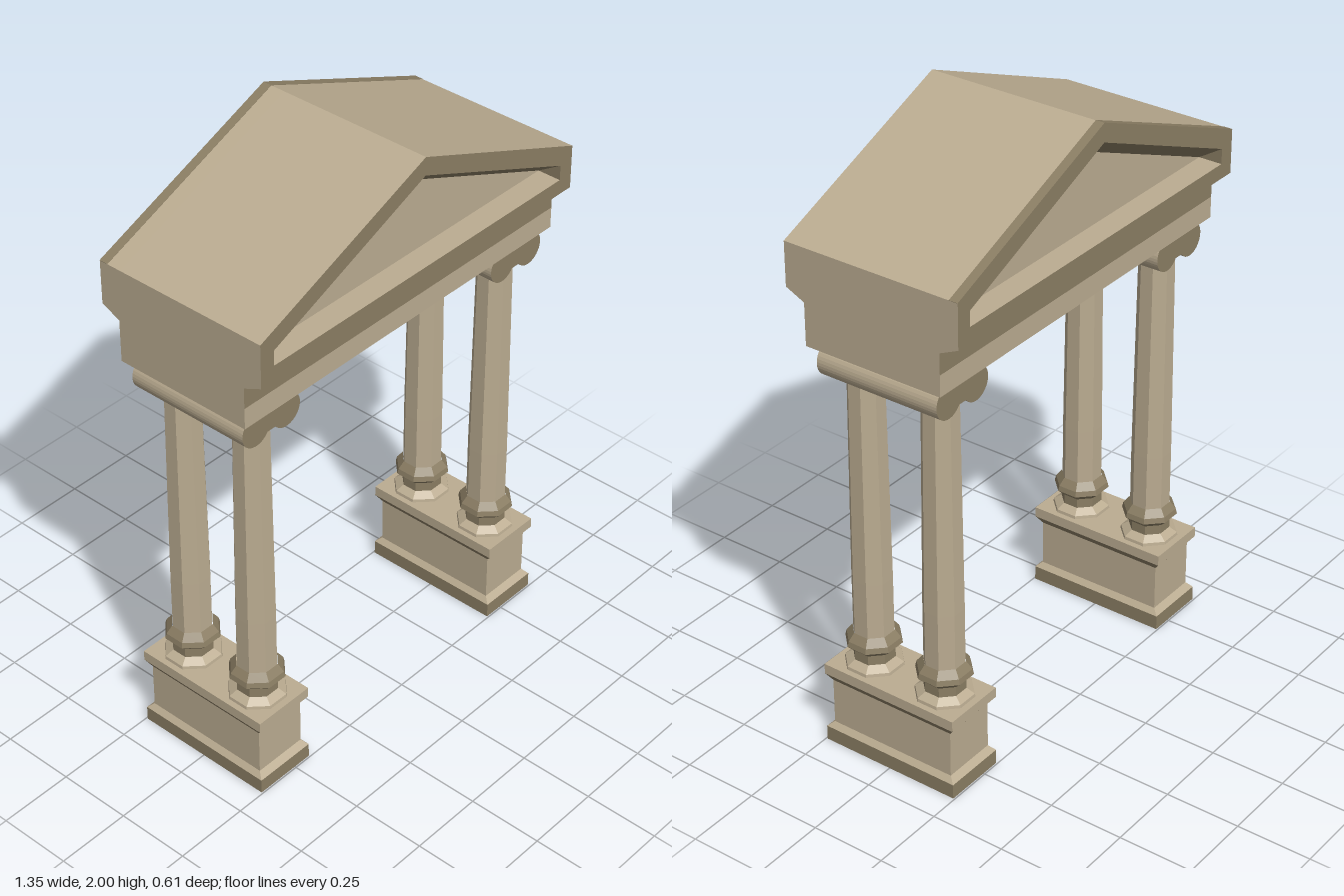
import * as THREE from 'three';

const stone = new THREE.MeshStandardMaterial({ color: 0xbbac91 });
stone.name = 'light stone';
const worn = new THREE.MeshStandardMaterial({ color: 0x8b7e64 });
worn.name = 'weathered stone';
// box faces: sides, top and bottom light, front and back weathered
const wornEnds = [stone, stone, stone, stone, worn, worn];

function add(parent, name, geometry, material) {
  const mesh = new THREE.Mesh(geometry, material);
  mesh.name = name;
  parent.add(mesh);
  return mesh;
}

function faceted(geometry) {
  const g = geometry.index ? geometry.toNonIndexed() : geometry;
  g.computeVertexNormals();
  return g;
}

// Box between two heights, with separate half sizes at bottom and top
function block(y0, y1, [bx, bz], [tx, tz] = [bx, bz]) {
  const g = new THREE.BoxGeometry(2, y1 - y0, 2);
  g.translate(0, (y0 + y1) / 2, 0);
  const p = g.attributes.position;
  for (let i = 0; i < p.count; i++) {
    const top = p.getY(i) > (y0 + y1) / 2;
    p.setX(i, p.getX(i) * (top ? tx : bx));
    p.setZ(i, p.getZ(i) * (top ? tz : bz));
  }
  return faceted(g);
}

// Eight-sided turned part with a flat side facing forward
function turned(profile) {
  const points = profile.map(([r, y]) => new THREE.Vector2(r / Math.cos(Math.PI / 8), y));
  return faceted(new THREE.LatheGeometry(points, 8, Math.PI / 8));
}

function gable(half, base, eave, apex, Type = THREE.Shape) {
  return new Type([[-half, base], [half, base], [half, eave], [0, apex], [-half, eave]]
    .map(([x, y]) => new THREE.Vector2(x, y)));
}

function pedestal() {
  const g = new THREE.Group();
  g.name = 'pedestal';
  const wide = [0.107, 0.245], narrow = [0.092, 0.225];
  add(g, 'plinth', block(0, 0.05, wide), worn);
  add(g, 'plinthBevel', block(0.05, 0.068, wide, narrow), stone);
  add(g, 'pedestalBody', block(0.068, 0.225, narrow), stone);
  add(g, 'capBevel', block(0.225, 0.25, narrow, wide), worn);
  add(g, 'pedestalCap', block(0.25, 0.285, wide), stone);
  return g;
}

function column() {
  const g = new THREE.Group();
  g.name = 'column';
  add(g, 'columnFoot', turned([[0.088, 0.283], [0.086, 0.295], [0.062, 0.312]]), stone);
  add(g, 'columnRings', turned([[0.062, 0.312], [0.062, 0.345], [0.084, 0.367], [0.08, 0.385], [0.062, 0.41]]), worn);
  add(g, 'shaft', turned([[0.06, 0.4], [0.06, 0.6], [0.053, 1.34]]), stone);
  return g;
}

// Capital: two scrolls joined by a bridge, running the depth of both columns
function capitalGeometry() {
  const deg = Math.PI / 180;
  const s = new THREE.Shape();
  s.moveTo(-0.094, 1.41);
  s.lineTo(0.094, 1.41);
  s.absarc(0.062, 1.355, 0.056, 55 * deg, -145 * deg, true);
  s.absarc(-0.062, 1.355, 0.056, -35 * deg, -235 * deg, true);
  const g = new THREE.ExtrudeGeometry(s, { depth: 0.43, bevelEnabled: false, curveSegments: 10 });
  return g.translate(0, 0, -0.215);
}

// Gable frame whose recess narrows under a sloping soffit
function frameGeometry(depth) {
  const s = gable(0.675, 1.58, 1.725, 2);
  s.holes.push(gable(0.622, 1.63, 1.68, 1.94, THREE.Path));
  const g = new THREE.ExtrudeGeometry(s, { depth, bevelEnabled: false });
  const p = g.attributes.position;
  const inHole = (i) => Math.abs(p.getX(i)) < 0.65 && p.getY(i) > 1.6 && p.getY(i) < 1.97;
  const capCount = g.groups[0].count;
  for (let i = 0; i < p.count; i++) {
    if (inHole(i) && p.getY(i) > 1.65 && p.getZ(i) < depth / 2) p.setY(i, p.getY(i) - 0.05);
  }
  g.computeVertexNormals();
  // weathered face and soffit, light roof and ledge
  g.clearGroups();
  g.addGroup(0, capCount, 0);
  for (let i = capCount; i < p.count; i += 3) {
    const soffit = inHole(i) && g.attributes.normal.getY(i) < 0.1;
    g.addGroup(i, 3, soffit ? 0 : 1);
  }
  return g;
}

export function createModel() {
  const model = new THREE.Group();
  model.name = 'pedimentedGateway';

  // Supports on both sides
  for (const side of [-1, 1]) {
    const support = new THREE.Group();
    support.name = side > 0 ? 'leftSupport' : 'rightSupport';
    support.position.x = side * 0.5425;
    support.add(pedestal());
    for (const z of [-0.135, 0.135]) {
      const c = column();
      c.position.z = z;
      support.add(c);
    }
    add(support, 'scrollCapital', capitalGeometry(), [worn, stone]);
    model.add(support);
  }

  // Beam and cornice
  add(model, 'beam', block(1.41, 1.48, [0.675, 0.24]), stone);
  add(model, 'frieze', block(1.48, 1.55, [0.675, 0.24]), wornEnds);
  add(model, 'cornice', block(1.55, 1.58, [0.675, 0.24], [0.675, 0.305]), wornEnds);

  // Pediment: solid core with a recessed frame at each end
  const depth = 0.08, halfCore = 0.305 - depth;
  const core = new THREE.ExtrudeGeometry(gable(0.675, 1.58, 1.725, 2), { depth: halfCore * 2, bevelEnabled: false });
  add(model, 'pedimentCore', core.translate(0, 0, -halfCore), stone);
  for (const front of [true, false]) {
    const frame = add(model, front ? 'frontGable' : 'backGable', frameGeometry(depth).translate(0, 0, halfCore), [worn, stone]);
    if (!front) frame.rotation.y = Math.PI;
  }

  // Weathered edge along the back of the roof
  const slope = Math.atan2(0.275, 0.675);
  for (const side of [-1, 1]) {
    const strip = add(model, 'roofEdgeStain', new THREE.BoxGeometry(Math.hypot(0.275, 0.675), 0.002, 0.03), worn);
    strip.position.set(side * 0.3375, 1.8625, -0.29);
    strip.rotation.z = -side * slope;
  }
  return model;
}
